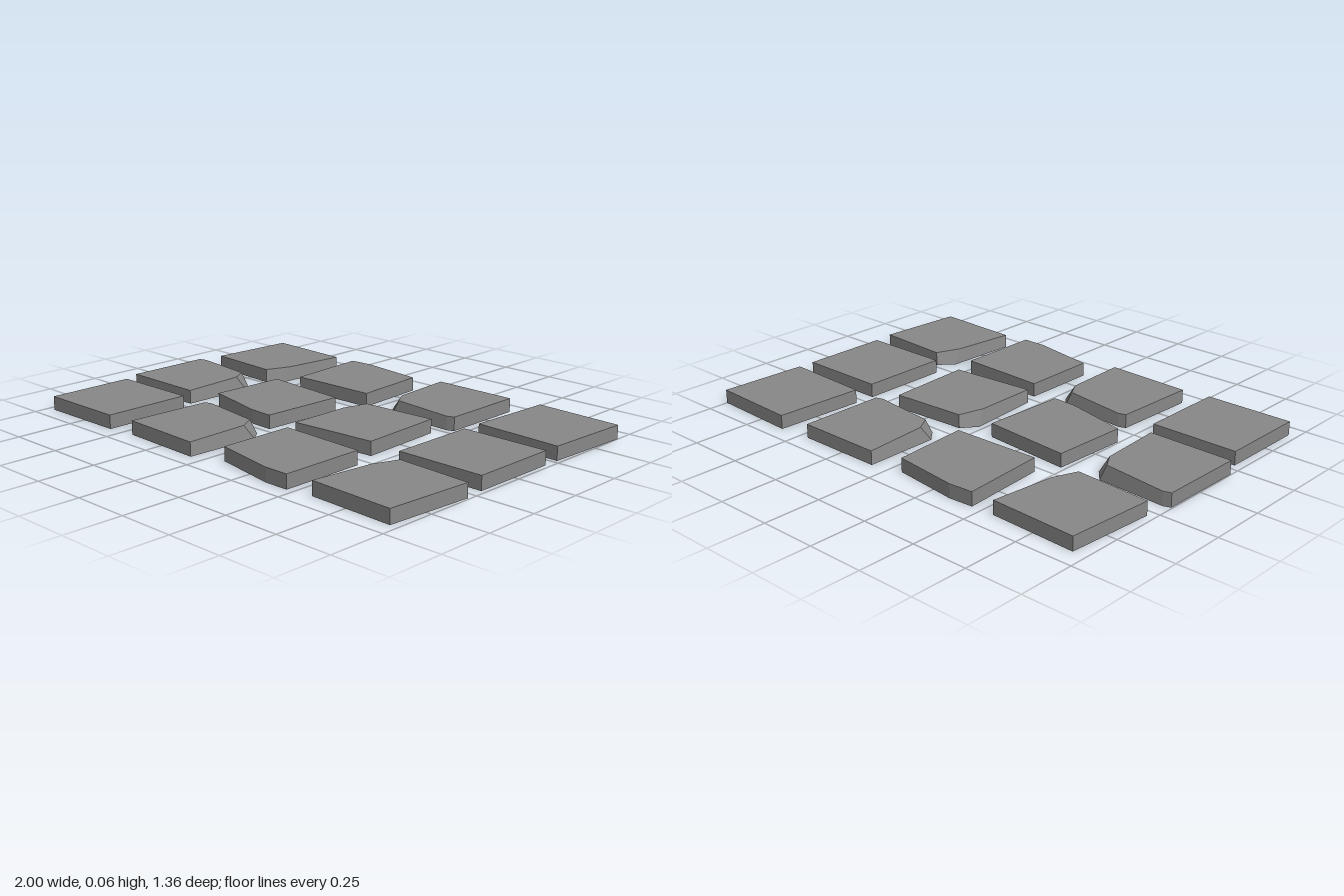
import * as THREE from 'three';

const HEIGHT = 0.06;

// Four slab shapes: plan outline [x, z] and the top corners that are worn inwards.
const shapes = {
  square: {
    outline: [[-0.197, -0.197], [0.197, -0.197], [0.197, 0.197], [-0.197, 0.197]],
    worn: {},
  },
  slanted: {
    outline: [[-0.198, -0.196], [0.198, -0.18], [0.198, 0.196], [0.09, 0.196], [-0.198, 0.141]],
    worn: {},
  },
  chipped: {
    outline: [[-0.193, -0.195], [0.19, -0.195], [0.192, 0.184], [0.16, 0.195], [-0.145, 0.184], [-0.193, 0.13]],
    worn: { 4: [-0.129, 0.162], 5: [-0.171, 0.093] },
  },
  clipped: {
    outline: [[-0.177, -0.203], [0.208, -0.187], [0.192, 0.144], [0.133, 0.203], [-0.204, 0.182]],
    worn: { 2: [0.176, 0.096] },
  },
};

// Placement: shape, centre x, centre z, turn in degrees.
const layout = [
  // back row
  ['clipped', -0.764, -0.467, 0],
  ['slanted', -0.243, -0.476, 176.1],
  ['chipped', 0.27, -0.47, 0],
  ['square', 0.794, -0.473, 2.5],
  // middle row
  ['chipped', -0.805, 0.011, 180.7],
  ['slanted', -0.29, 0.017, 2.4],
  ['clipped', 0.231, 0.005, 173],
  ['square', 0.784, 0.002, 0],
  // front row
  ['square', -0.767, 0.48, 0],
  ['chipped', -0.247, 0.475, 182.4],
  ['slanted', 0.27, 0.481, 0],
  ['clipped', 0.788, 0.473, 180],
];

// Closed slab between a bottom outline and its partly worn top outline, one normal per side.
function slabGeometry({ outline, worn }) {
  const bottom = outline.map(([x, z]) => new THREE.Vector3(x, 0, z));
  const top = outline.map((p, i) => {
    const [x, z] = worn[i] || p;
    return new THREE.Vector3(x, HEIGHT, z);
  });
  const n = outline.length;
  const positions = [];
  const normals = [];
  const tri = (normal, ...corners) => corners.forEach((c) => {
    positions.push(c.x, c.y, c.z);
    normals.push(normal.x, normal.y, normal.z);
  });
  // sides, split along the diagonal that keeps the slab convex
  for (let i = 0; i < n; i++) {
    const j = (i + 1) % n;
    const [a, b, c, d] = [bottom[i], top[i], top[j], bottom[j]];
    const normal = c.clone().sub(a).cross(d.clone().sub(b)).normalize();
    if (worn[j]) {
      tri(normal, a, b, d);
      tri(normal, b, c, d);
    } else {
      tri(normal, a, b, c);
      tri(normal, a, c, d);
    }
  }
  // top and bottom
  const up = new THREE.Vector3(0, 1, 0);
  const down = new THREE.Vector3(0, -1, 0);
  for (let i = 1; i < n - 1; i++) {
    tri(up, top[0], top[i + 1], top[i]);
    tri(down, bottom[0], bottom[i], bottom[i + 1]);
  }
  const geometry = new THREE.BufferGeometry();
  geometry.setAttribute('position', new THREE.Float32BufferAttribute(positions, 3));
  geometry.setAttribute('normal', new THREE.Float32BufferAttribute(normals, 3));
  return geometry;
}

export function createModel() {
  const group = new THREE.Group();
  group.name = 'pavingStones';
  const material = new THREE.MeshStandardMaterial({ color: 0x878787 });
  const geometries = {};
  for (const name in shapes) geometries[name] = slabGeometry(shapes[name]);

  layout.forEach(([shape, x, z, turn], i) => {
    const stone = new THREE.Mesh(geometries[shape], material);
    stone.name = `${shape}Stone${i + 1}`;
    stone.position.set(x, 0, z);
    stone.rotation.y = -THREE.MathUtils.degToRad(turn);
    group.add(stone);
  });
  return group;
}
